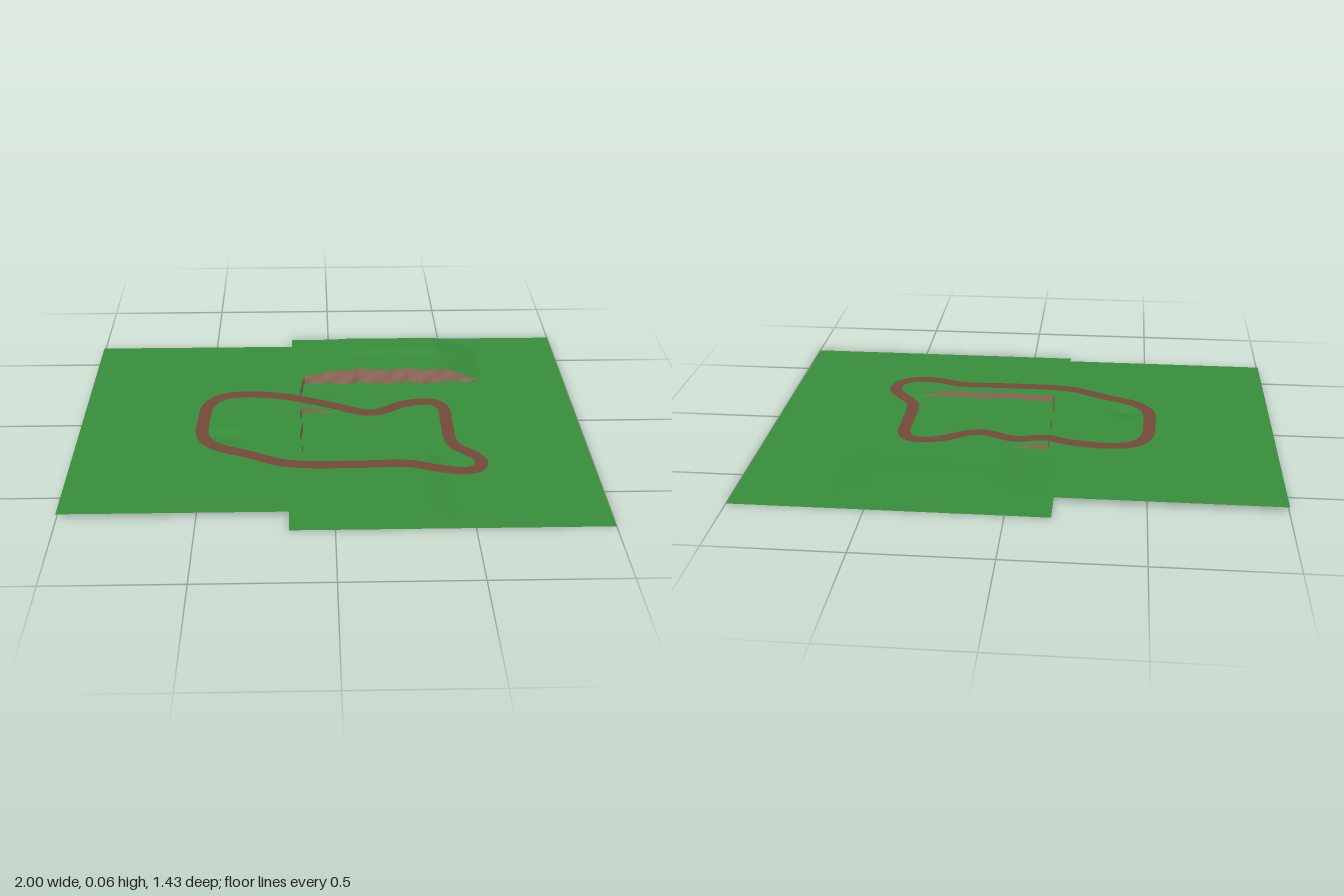
import * as THREE from 'three';

const { smoothstep, lerp } = THREE.MathUtils;
const LEVEL = 0.022;

// Grid surface from a rule fn(u, v) -> [x, y, z], with u and v in 0..1
function sheet(nu, nv, fn) {
  const pos = [], idx = [];
  for (let i = 0; i <= nu; i++)
    for (let j = 0; j <= nv; j++) pos.push(...fn(i / nu, j / nv));
  for (let i = 0; i < nu; i++)
    for (let j = 0; j < nv; j++) {
      const a = i * (nv + 1) + j, b = a + 1, c = a + nv + 1, d = c + 1;
      idx.push(a, b, c, b, d, c);
    }
  const geo = new THREE.BufferGeometry();
  geo.setAttribute('position', new THREE.Float32BufferAttribute(pos, 3));
  geo.setIndex(idx);
  geo.computeVertexNormals();
  return geo;
}

// Uneven rims of the raised ground
const coastX = z => -0.122 + 0.004 * Math.sin(z * 38) + 0.016 * smoothstep(Math.abs(z + 0.035), 0.265, 0.297);
const inletZ = x => 0.26 + 0.004 * Math.sin(x * 26) - 0.008 * smoothstep(-x, -0.05, 0.12);
const cliffZ = x => -0.338 + 0.007 * Math.sin(x * 34) * smoothstep(x, -0.05, 0.1)
  + 0.003 * Math.sin(x * 85) + 0.01 * smoothstep(-x, 0, 0.12);

// Heights of each piece of ground
const hillY = (x, z) => {
  const top = lerp(0.06, 0.055, smoothstep(z, -0.52, -0.44));
  const rise = lerp(LEVEL, top, smoothstep(x, -0.17, 0.08));
  const t = Math.max(0, (x - 0.47) / 0.18);
  return Math.max(0.0008, rise * (1 - Math.pow(t, 1.15)));
};
const tongueY = x => lerp(LEVEL, 0.0008, smoothstep(x, 0.34, 0.45));
const rampY = x => lerp(LEVEL, 0.002, (x + 0.12) / 0.13);
const westY = (x, z) => {
  const hollow = 0.012 * Math.exp(-(((x + 0.42) / 0.05) ** 2 + ((z - 0.13) / 0.04) ** 2));
  return LEVEL - hollow;
};

export function createModel() {
  const group = new THREE.Group();
  const material = (name, color) => {
    const m = new THREE.MeshStandardMaterial({ color, side: THREE.DoubleSide });
    m.name = name;
    return m;
  };
  const grass = material('grass green', 0x388e3c);
  const rock = material('rock brown', 0x8d6655);
  const dirt = material('dirt brown', 0x744a39);
  const add = (name, geo, mat) => {
    const mesh = new THREE.Mesh(geo, mat);
    mesh.name = name;
    group.add(mesh);
  };

  // Low ground
  add('lowGround', sheet(1, 1, (u, v) => [lerp(-0.165, 1, u), 0, lerp(-0.715, 0.712, v)]), grass);

  // Raised ground: western field, northern hill, southern tongue and ramp
  add('westField', sheet(60, 84, (u, v) => {
    const z = lerp(-0.61, 0.63, v);
    const x = lerp(-1, z > -0.33 && z < 0.26 ? coastX(z) : -0.12, u);
    return [x, z < -0.33 ? lerp(LEVEL, hillY(x, z), smoothstep(x, -0.2, -0.12)) : westY(x, z), z];
  }), grass);
  add('northHill', sheet(90, 16, (u, v) => {
    const x = lerp(-0.12, 0.65, u), z = lerp(-0.61, cliffZ(x), v);
    return [x, hillY(x, z), z];
  }), grass);
  add('southTongue', sheet(60, 4, (u, v) => {
    const x = lerp(-0.12, 0.45, u);
    return [x, tongueY(x), lerp(inletZ(x), 0.63, v)];
  }), grass);
  const rampHalf = x => 0.06 - 0.01 * Math.sin(Math.PI * (x + 0.12) / 0.13);
  add('ramp', sheet(10, 2, (u, v) => {
    const x = lerp(-0.12, 0.01, u);
    return [x, rampY(x), -0.138 + rampHalf(x) * (2 * v - 1)];
  }), grass);

  // Rock faces under the rims, leaning out slightly at the foot
  add('northCliff', sheet(90, 4, (u, v) => {
    const x = lerp(-0.12, 0.65, u), y = hillY(x, cliffZ(x));
    return [x, y * (1 - v), cliffZ(x) + 0.35 * y * v + 0.003 * Math.sin(x * 60 + v * 4) * v];
  }), rock);
  add('westCliff', sheet(60, 1, (u, v) => {
    const z = lerp(0.26, -0.33, u);
    return [coastX(z) + 0.004 * v, LEVEL * (1 - v), z];
  }), rock);
  add('inletCliff', sheet(60, 1, (u, v) => {
    const x = lerp(0.45, -0.12, u);
    return [x, tongueY(x) * (1 - v), inletZ(x) - 0.004 * v];
  }), rock);
  for (const s of [-1, 1])
    add(s < 0 ? 'rampNorthSide' : 'rampSouthSide', sheet(10, 1, (u, v) => {
      const x = lerp(-0.12, 0.01, s > 0 ? u : 1 - u);
      return [x, rampY(x) * (1 - v), -0.138 + s * (rampHalf(x) + 0.003 * v)];
    }), rock);

  // Closed dirt track: on the field, down off the tongue, back up the ramp
  const F = LEVEL + 0.002, L = 0.002;
  const path = new THREE.CatmullRomCurve3([
    [-0.513, F, 0], [-0.508, F, 0.13], [-0.46, F, 0.195], [-0.32, F, 0.26], [-0.2, F, 0.317],
    [-0.1, F, 0.333], [0.1, F, 0.335], [0.29, F, 0.335], [0.4, F, 0.368], [0.5, 0.018, 0.378],
    [0.555, 0.013, 0.35], [0.568, 0.009, 0.29], [0.53, 0.006, 0.235], [0.475, 0.003, 0.17],
    [0.466, L, 0], [0.464, L, -0.1], [0.43, L, -0.15], [0.36, L, -0.155], [0.29, L, -0.135],
    [0.22, L, -0.09], [0.16, L, -0.074], [0.1, L, -0.09], [0.02, 0.004, -0.125],
    [-0.11, F, -0.145], [-0.2, F, -0.175], [-0.35, F, -0.193], [-0.45, F, -0.172], [-0.5, F, -0.11],
  ].map(p => new THREE.Vector3(...p)), true, 'centripetal');
  add('track', sheet(240, 1, (u, v) => {
    const p = path.getPointAt(u % 1), t = path.getTangentAt(u % 1);
    const k = 0.025 * (1 - 2 * v) / Math.hypot(t.x, t.z);
    return [p.x + t.z * k, p.y, p.z - t.x * k].map((c, i) => (i === 1 ? Math.max(0.0015, c) : c));
  }).scale(1, 1, 1), dirt);

  return group;
}
